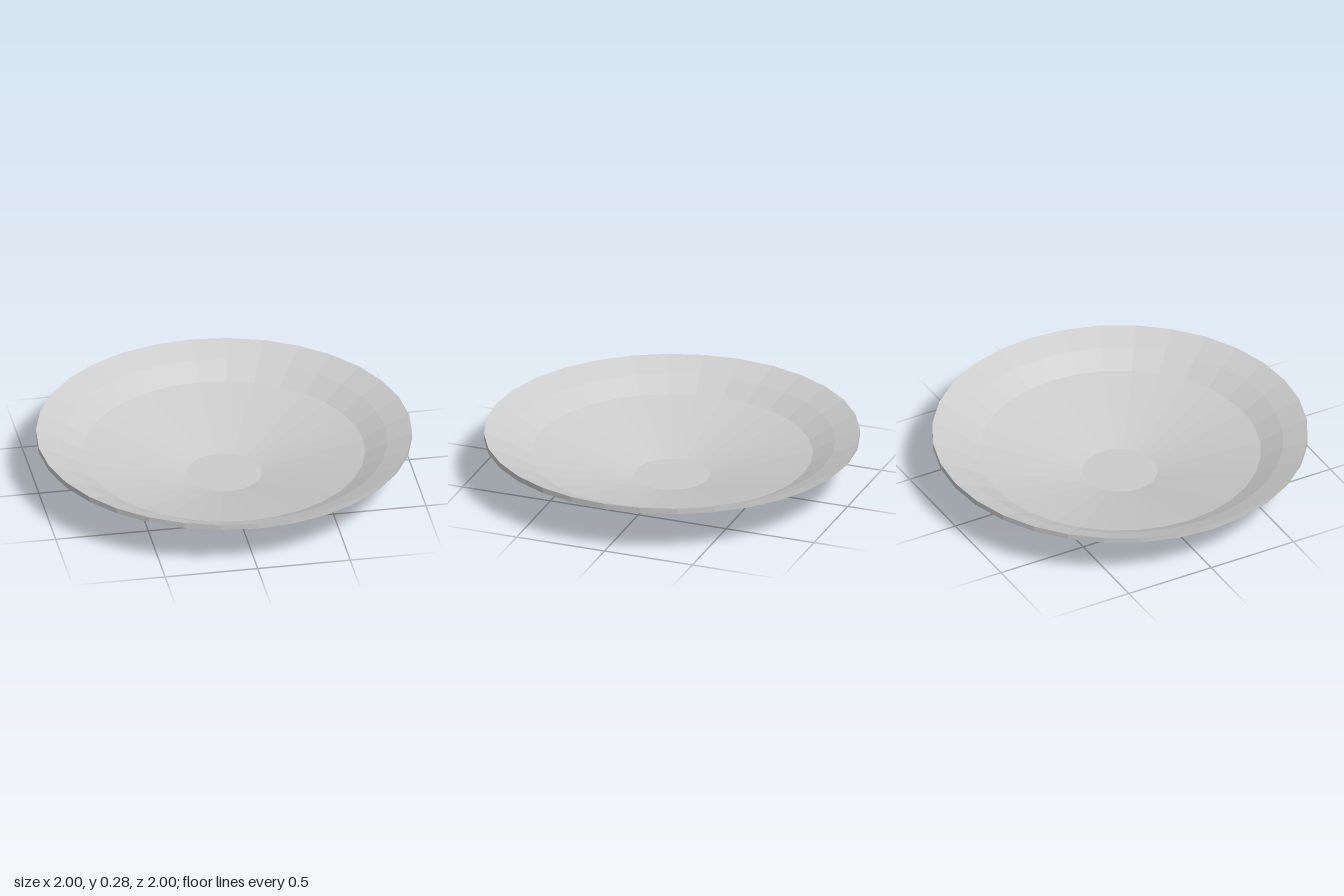
import * as THREE from 'three';

const SIDES = 32;

// Turns a list of [radius, height] pairs around the y axis
function turned(name, profile, material) {
  const points = profile.map(([r, y]) => new THREE.Vector2(r, y));
  const mesh = new THREE.Mesh(new THREE.LatheGeometry(points, SIDES), material);
  mesh.name = name;
  return mesh;
}

export function createModel() {
  const group = new THREE.Group();
  group.name = 'plate';
  const ceramic = new THREE.MeshStandardMaterial({ color: 0xcccccc });
  ceramic.name = 'light grey ceramic';
  ceramic.flatShading = true;

  // Flat foot and flaring underside
  group.add(turned('underside', [[0, 0], [0.3, 0], [0.54, 0.05], [0.8, 0.173], [1, 0.245]], ceramic));

  // Thin upright edge
  group.add(turned('rimEdge', [[1, 0.245], [1, 0.275]], ceramic));

  // Sloping lip, shallow bowl and flat centre, from the rim inwards
  group.add(turned('lip', [[1, 0.275], [0.87, 0.22], [0.75, 0.153]], ceramic));
  group.add(turned('bowl', [[0.75, 0.153], [0.2, 0.025], [0, 0.025]], ceramic));

  return group;
}
